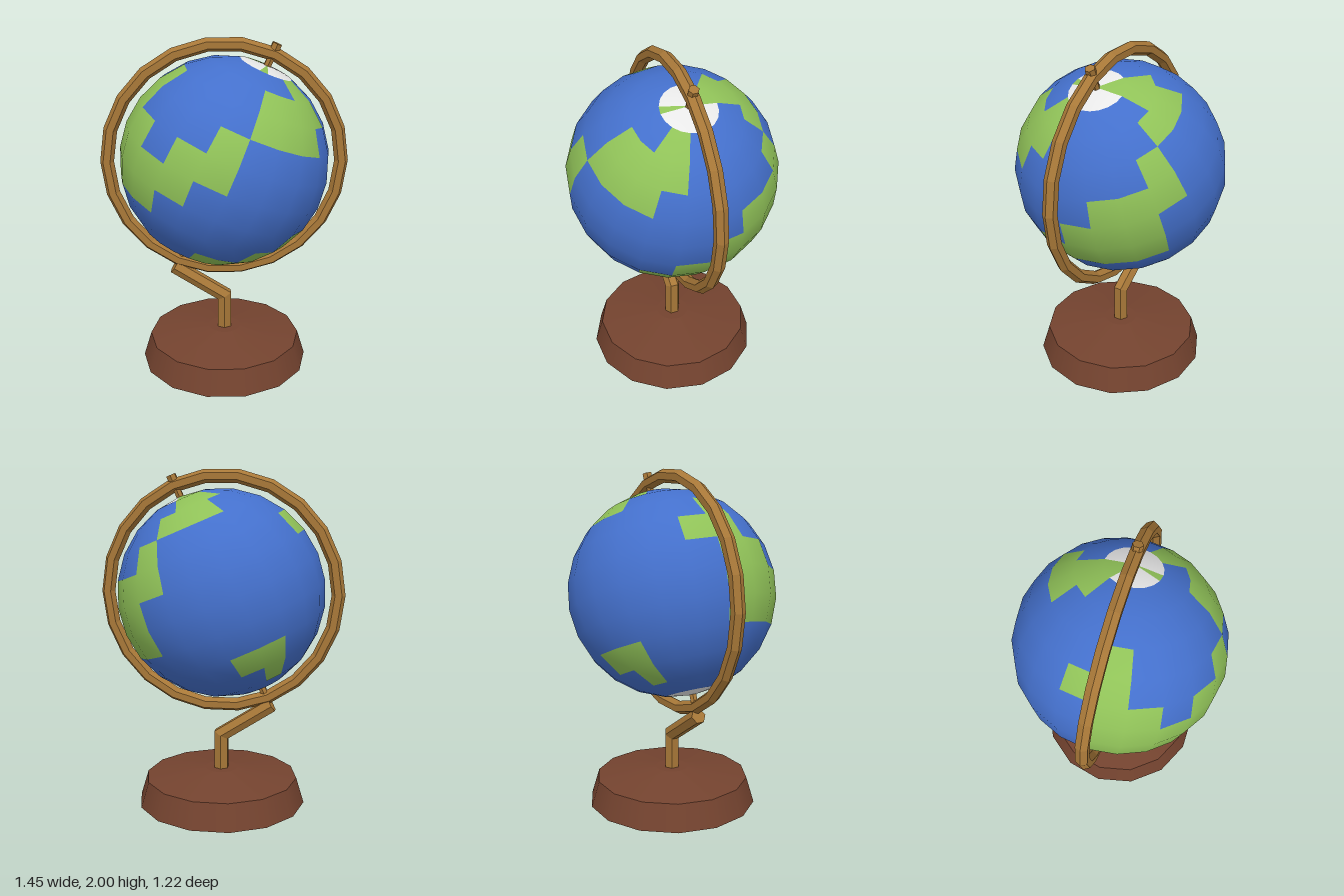
import * as THREE from 'three';

const mat = (name, color) => {
  const m = new THREE.MeshStandardMaterial({ color });
  m.name = name;
  return m;
};

// gives every face its own normal
const faceted = (geometry) => {
  const g = geometry.index ? geometry.toNonIndexed() : geometry;
  g.computeVertexNormals();
  return g;
};

const CENTRE_Y = 1.284;
const RADIUS = 0.61;
const TILT = THREE.MathUtils.degToRad(23.4);

// Map cells of 18 by 15 degrees, north to south: . sea, L land, W ice
const MAP = [
  'WWWWLWWWWWWWWWWLLLWW',
  '.......LL......LLL..',
  '.....LLLL.....LLL...',
  'L....LLL.....L......',
  'L...L......LLL.....L',
  'LL.LL.....LLL.......',
  'LLLL.....LLLL.......',
  'LLL.....LL..........',
  '.......LLL.....LL...',
  '.....LLLLL......L...',
  '....LLLLLL..........',
  'WWWWWWWWWWWWWWWWWWWW',
];

// Sphere whose faces are sorted into one group per map colour
function globeGeometry() {
  const g = new THREE.SphereGeometry(RADIUS, 20, 12);
  const source = g.index.array;
  const lists = { '.': [], L: [], W: [] };
  let at = 0;
  MAP.forEach((row, r) => {
    const count = r === 0 || r === MAP.length - 1 ? 3 : 6;
    for (const cell of row) {
      for (let k = 0; k < count; k++) lists[cell].push(source[at++]);
    }
  });
  g.setIndex([...lists['.'], ...lists.L, ...lists.W]);
  g.clearGroups();
  let start = 0;
  ['.', 'L', 'W'].forEach((key, i) => {
    g.addGroup(start, lists[key].length, i);
    start += lists[key].length;
  });
  return g;
}

// Six-sided bent rod: each section has a centre and a sideways vector in the xy plane
function bentRod(sections, radius) {
  const n = 6;
  const pos = [];
  const index = [];
  sections.forEach(({ c, s }) => {
    for (let i = 0; i < n; i++) {
      const a = (i / n) * Math.PI * 2 + Math.PI / 2;
      const w = Math.cos(a) * radius;
      pos.push(c[0] + s[0] * w, c[1] + s[1] * w, Math.sin(a) * radius);
    }
  });
  for (let j = 0; j < sections.length - 1; j++) {
    for (let i = 0; i < n; i++) {
      const a = j * n + i;
      const b = j * n + ((i + 1) % n);
      index.push(a, a + n, b, b, a + n, b + n);
    }
  }
  const last = (sections.length - 1) * n;
  for (let i = 1; i < n - 1; i++) {
    index.push(0, i, i + 1);
    index.push(last, last + i + 1, last + i);
  }
  const g = new THREE.BufferGeometry();
  g.setAttribute('position', new THREE.Float32BufferAttribute(pos, 3));
  g.setIndex(index);
  return faceted(g);
}

export function createModel() {
  const model = new THREE.Group();
  model.name = 'deskGlobe';

  const sea = mat('seaBlue', 0x4470cc);
  const land = mat('landGreen', 0x90c258);
  const ice = mat('iceWhite', 0xeeeeee);
  const brass = mat('brass', 0xa87838);
  const wood = mat('darkWood', 0x74432f);

  const add = (parent, name, geometry, material, y = 0) => {
    const mesh = new THREE.Mesh(geometry, material);
    mesh.name = name;
    mesh.position.y = y;
    parent.add(mesh);
    return mesh;
  };

  // base: sloping rim under a shallow cone
  const base = new THREE.Group();
  base.name = 'base';
  base.rotation.y = Math.PI / 2;
  model.add(base);
  add(base, 'baseRim', new THREE.CylinderGeometry(0.46, 0.507, 0.155, 14), wood, 0.0775);
  add(base, 'baseTop', new THREE.CylinderGeometry(0.1, 0.46, 0.05, 14), wood, 0.18);

  // bent support arm, mitred at the elbow
  add(model, 'supportArm', bentRod([
    { c: [0, 0.17], s: [1, 0] },
    { c: [0, 0.415], s: [1, 0.56] },
    { c: [-0.305, 0.614], s: [0.53, 0.85] },
  ], 0.046), brass);

  // upright ring around the ball
  add(model, 'ring', faceted(new THREE.TorusGeometry(0.683, 0.04, 6, 22)), brass, CENTRE_Y);

  // ball, axle and knob share the tilted axis
  const tilted = new THREE.Group();
  tilted.name = 'tiltedGlobe';
  tilted.position.y = CENTRE_Y;
  tilted.rotation.z = -TILT;
  model.add(tilted);
  add(tilted, 'ball', globeGeometry(), [sea, land, ice]);
  for (const side of [1, -1]) {
    const pin = faceted(new THREE.CylinderGeometry(0.023, 0.023, 0.13, 6));
    add(tilted, side > 0 ? 'topPin' : 'bottomPin', pin, brass, side * 0.65);
  }
  add(tilted, 'topKnob', faceted(new THREE.CylinderGeometry(0.03, 0.03, 0.04, 6)), brass, 0.722);

  return model;
}
